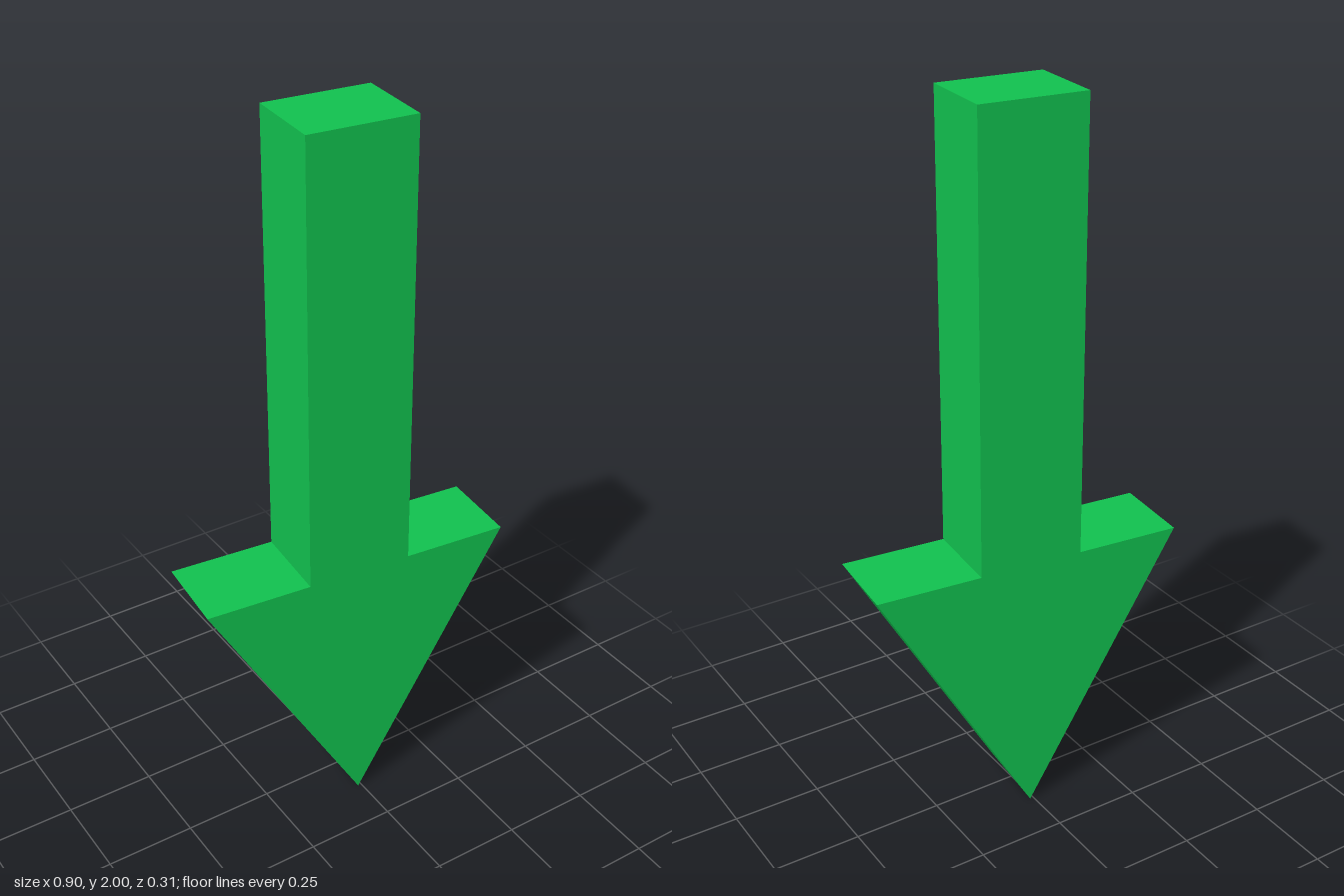
import * as THREE from 'three';

export function createModel() {
  const shaftHalf = 0.147, headHalf = 0.441, headTop = 0.765, height = 2, depth = 0.233;

  // Arrow outline, counter-clockwise from the tip, mirrored about x = 0
  const rightSide = [[headHalf, headTop], [shaftHalf, headTop], [shaftHalf, height]];
  const leftSide = rightSide.map(([x, y]) => [-x, y]).reverse();
  const outline = [[0, 0], ...rightSide, ...leftSide].map(([x, y]) => new THREE.Vector2(x, y));

  // Flat slab with sharp edges, centred on its thickness
  const geometry = new THREE.ExtrudeGeometry(new THREE.Shape(outline), { depth, bevelEnabled: false });
  geometry.translate(0, 0, -depth / 2);

  const arrow = new THREE.Mesh(
    geometry,
    new THREE.MeshStandardMaterial({ color: 0x11c04e, flatShading: true })
  );
  arrow.name = 'downArrow';
  arrow.rotation.y = -0.092; // slight turn about the vertical axis

  const model = new THREE.Group();
  model.name = 'arrowMarker';
  model.add(arrow);
  return model;
}
